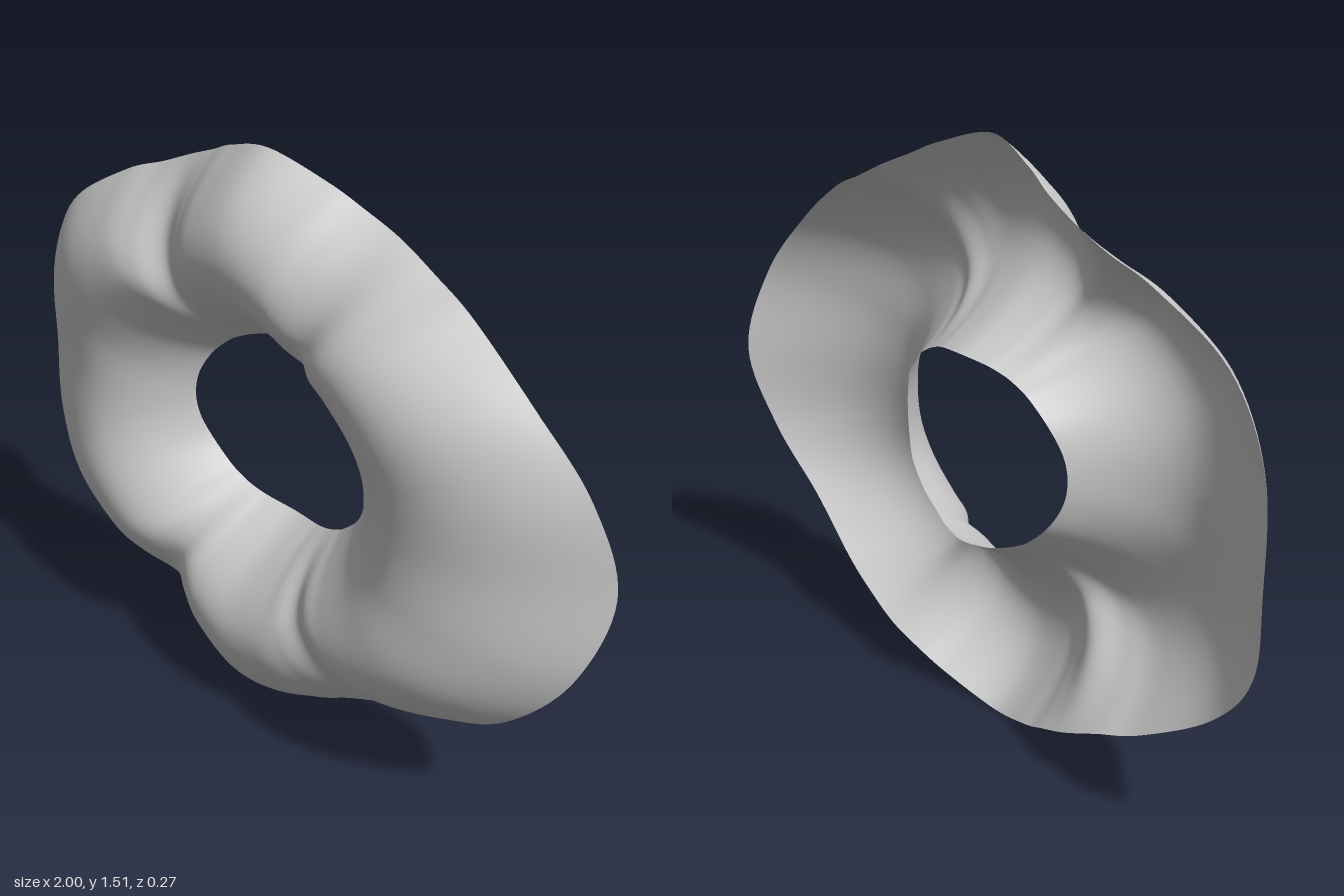
import * as THREE from 'three';

// One quadrant of the ring, from the side (0 deg) to the top (90 deg):
// [angle, outer x, outer y, outer z, crest position 0..1, crest z, inner z]
const KEYS = [
  [0, 1.0, 0, -0.135, 0.38, 0.105, -0.06],
  [15, 0.945, 0.23, -0.088, 0.42, 0.113, -0.065],
  [31, 0.8, 0.405, -0.052, 0.48, 0.13, -0.08],
  [47, 0.6, 0.53, -0.074, 0.5, 0.131, -0.09],
  [55, 0.47, 0.582, -0.091, 0.47, 0.115, -0.095],
  [62, 0.36, 0.63, -0.095, 0.42, 0.074, -0.1],
  [69, 0.26, 0.671, -0.082, 0.46, 0.1, -0.108],
  [76, 0.165, 0.712, -0.06, 0.51, 0.118, -0.117],
  [90, 0, 0.755, -0.03, 0.53, 0.127, -0.128],
];
const CENTRE_Y = 0.755;

// Mirror the quadrant into a closed smooth curve
function closedCurve(toPoint, mirrorXY) {
  const pts = [];
  const last = KEYS.length - 1;
  for (let q = 0; q < 4; q++) {
    for (let i = 0; i < last; i++) {
      const p = toPoint(KEYS[q % 2 ? last - i : i]);
      if (mirrorXY) {
        if (q === 1 || q === 2) p.x *= -1;
        if (q >= 2) p.y *= -1;
      }
      pts.push(p);
    }
  }
  return new THREE.CatmullRomCurve3(pts, true, 'catmullrom', 0.5);
}

function waveRing(around, across) {
  const rad = THREE.MathUtils.degToRad;
  const inner = closedCurve(
    (k) => new THREE.Vector3(0.318 * Math.cos(rad(k[0])), 0.243 * Math.sin(rad(k[0])), k[6]), true);
  const outer = closedCurve((k) => new THREE.Vector3(k[1], k[2], k[3]), true);
  const crest = closedCurve((k) => new THREE.Vector3(k[4], k[5], 0), false);

  const positions = [];
  const index = [];
  for (let i = 0; i < around; i++) {
    const t = i / around;
    const a = inner.getPoint(t);
    const b = outer.getPoint(t);
    const c = crest.getPoint(t);
    for (let j = 0; j <= across; j++) {
      // Parabolic arch from the inner rim over the crest to the outer rim
      const s = j / across;
      const d = s < c.x ? (c.x - s) / c.x : (s - c.x) / (1 - c.x);
      const z = c.y + ((s < c.x ? a.z : b.z) - c.y) * d * d;
      positions.push(
        THREE.MathUtils.lerp(a.x, b.x, s),
        CENTRE_Y + THREE.MathUtils.lerp(a.y, b.y, s),
        z);
      if (j < across) {
        const p = i * (across + 1) + j;
        const n = ((i + 1) % around) * (across + 1) + j;
        index.push(p, p + 1, n + 1, p, n + 1, n);
      }
    }
  }
  const g = new THREE.BufferGeometry();
  g.setAttribute('position', new THREE.Float32BufferAttribute(positions, 3));
  g.setIndex(index);
  g.computeVertexNormals();
  return g;
}

export function createModel() {
  const group = new THREE.Group();
  group.name = 'wavyRing';
  // Thin sheet, open at the inner and outer rims
  const sheet = new THREE.Mesh(
    waveRing(256, 48),
    new THREE.MeshStandardMaterial({ color: 0xcccccc, side: THREE.DoubleSide }));
  sheet.name = 'ringSheet';
  group.add(sheet);
  return group;
}
